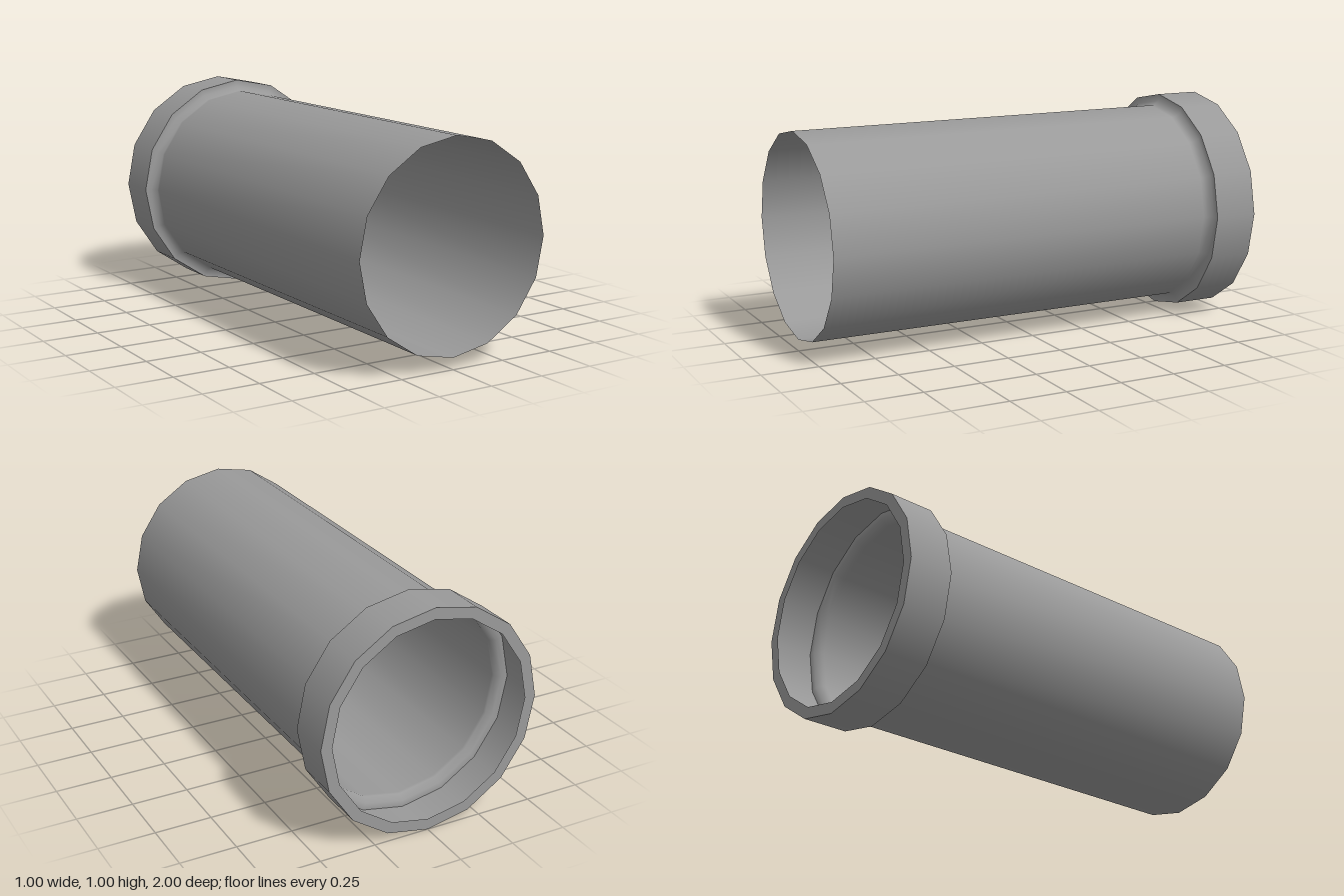
import * as THREE from 'three';

const SIDES = 16;
const PIPE_R = 0.45, COLLAR_R = 0.5;
const BACK = -1, STEP = -0.8, FRONT = 1;

export function createModel() {
  const group = new THREE.Group();
  group.name = 'pipe';
  const material = new THREE.MeshStandardMaterial({ color: 0x9a9a9a, side: THREE.DoubleSide });

  // Revolve a [radius, z] profile around the z axis
  const revolve = (name, profile) => {
    const points = profile.map(([r, z]) => new THREE.Vector2(r, z));
    const geometry = new THREE.LatheGeometry(points, SIDES).rotateX(Math.PI / 2);
    const mesh = new THREE.Mesh(geometry, material);
    mesh.name = name;
    mesh.position.y = COLLAR_R;
    group.add(mesh);
  };

  // Thin open tube, flaring smoothly out to the collar's front edge
  revolve('tube', [[COLLAR_R, STEP], [0.47, STEP], [PIPE_R, -0.775], [PIPE_R, -0.76], [PIPE_R, FRONT]]);

  // Hollow collar: a thin wall and a flat lip turned inward at the back
  revolve('collarWall', [[COLLAR_R, BACK], [COLLAR_R, STEP]]);
  revolve('collarLip', [[PIPE_R, BACK], [COLLAR_R, BACK]]);

  return group;
}
